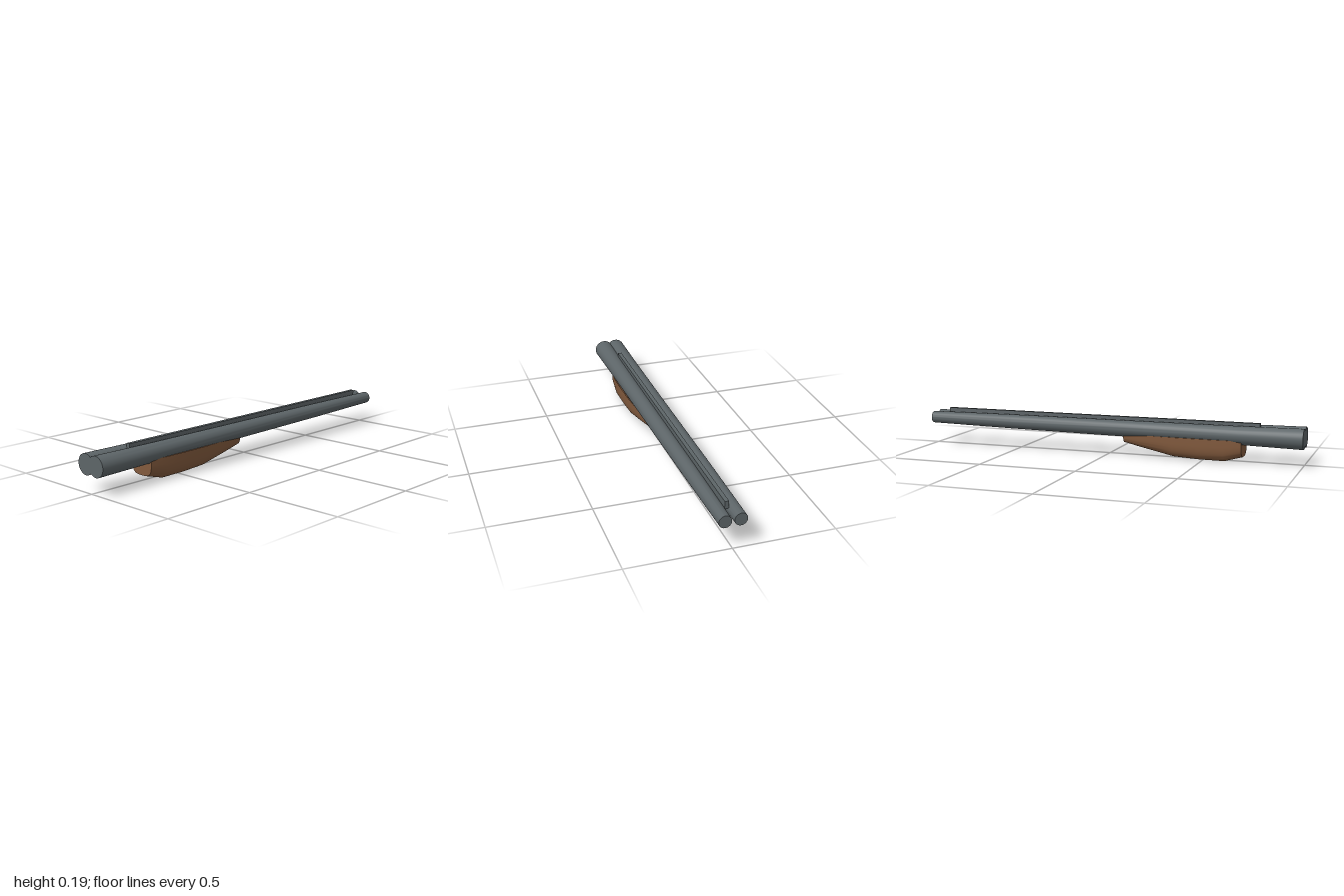
import * as THREE from 'three';
import { toCreasedNormals } from 'three/addons/utils/BufferGeometryUtils.js';

const steel = new THREE.MeshStandardMaterial({ color: 0x5d6568 });
steel.name = 'blued steel';
const wood = new THREE.MeshStandardMaterial({ color: 0x825a3d });
wood.name = 'walnut wood';

function addMesh(group, name, geometry, material) {
  const mesh = new THREE.Mesh(geometry, material);
  mesh.name = name;
  group.add(mesh);
}

// Tapered tube along x; its axis rises and spreads slightly towards the muzzle
function barrelGeometry(side) {
  const profile = [[0, -1], [0.051, -1], [0.046, -0.68], [0.042, -0.2], [0.037, 0.53], [0.031, 1], [0, 1]];
  const geo = new THREE.LatheGeometry(profile.map(([r, x]) => new THREE.Vector2(r, x)), 32);
  geo.rotateZ(-Math.PI / 2);
  const p = geo.attributes.position;
  for (let i = 0; i < p.count; i++) {
    const t = (p.getX(i) + 1) / 2;
    p.setY(i, p.getY(i) + 0.136 + 0.0105 * t);
    p.setZ(i, p.getZ(i) + side * (0.0345 + 0.0025 * t));
  }
  return toCreasedNormals(geo, 0.6);
}

// Rounded U-shaped cross-sections joined along x
function foreEndGeometry() {
  const sections = [ // x, half width, bottom
    [-0.7, 0.068, 0.028], [-0.61, 0.078, 0.003], [-0.48, 0.079, 0.004], [-0.35, 0.076, 0.011],
    [-0.17, 0.065, 0.05], [-0.09, 0.057, 0.068],
  ];
  const top = 0.115, n = 24, ring = n + 1;
  const positions = [], index = [];
  for (const [x, w, bottom] of sections) {
    for (let j = 0; j <= n; j++) {
      const a = (Math.PI * j) / n;
      const c = Math.cos(a), s = Math.max(0, Math.sin(a));
      positions.push(x, top - (top - bottom) * s ** 0.55, w * Math.sign(c) * Math.abs(c) ** 0.55);
    }
  }
  const last = (sections.length - 1) * ring;
  for (let start = 0; start < last; start += ring) {
    for (let j = 0; j < ring; j++) {
      const a = start + j, b = start + ((j + 1) % ring);
      index.push(a, b, a + ring, b, b + ring, a + ring);
    }
  }
  // End faces
  for (let j = 1; j < n; j++) {
    index.push(0, j + 1, j);
    index.push(last, last + j, last + j + 1);
  }
  const geo = new THREE.BufferGeometry();
  geo.setAttribute('position', new THREE.Float32BufferAttribute(positions, 3));
  geo.setIndex(index);
  return toCreasedNormals(geo, 0.6);
}

export function createModel() {
  const model = new THREE.Group();
  model.name = 'doubleBarrelAssembly';

  addMesh(model, 'nearBarrel', barrelGeometry(1), steel);
  addMesh(model, 'farBarrel', barrelGeometry(-1), steel);

  // Raised rib seated in the valley between the barrels
  const rib = new THREE.BoxGeometry(1.7, 0.037, 0.02);
  rib.translate(0.07, 0.1785, 0);
  addMesh(model, 'topRib', rib, steel);

  addMesh(model, 'foreEnd', foreEndGeometry(), wood);
  return model;
}
